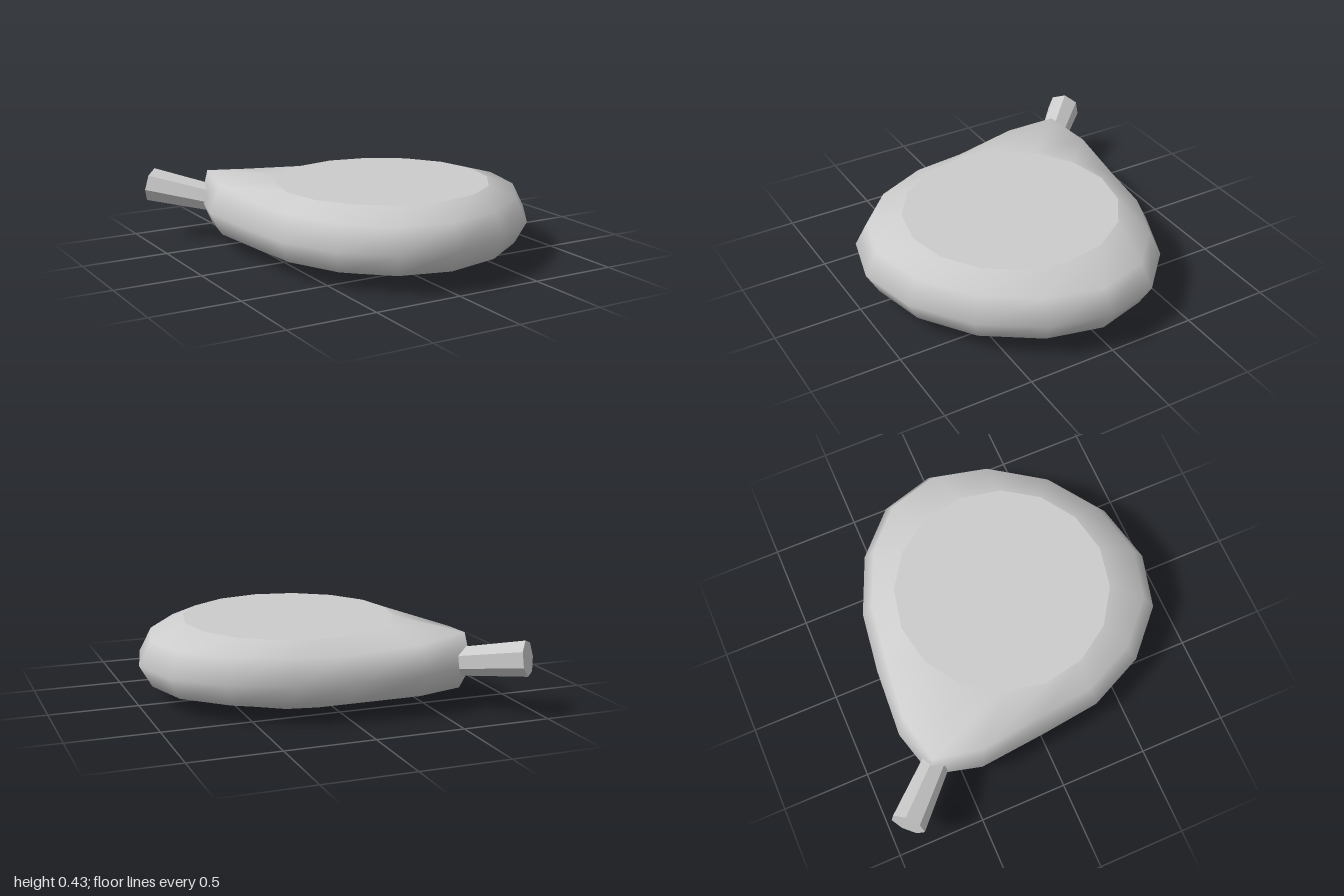
import * as THREE from 'three';

const N = 16;
const CX = 0.09, CZ = 0.09;

// Widest outline of the body (x, z), starting at +x and turning towards +z
const OUTLINE = [
  [0.99, 0], [0.91, 0.34], [0.69, 0.66], [0.37, 0.88],
  [0.02, 0.96], [-0.29, 0.88], [-0.54, 0.65], [-0.69, 0.33],
  [-0.73, 0], [-0.77, -0.4], [-0.7, -0.68], [-0.42, -0.755],
  [-0.02, -0.73], [0.33, -0.68], [0.66, -0.54], [0.9, -0.31],
];

// How strongly a point belongs to the bone corner
const corner = (i) => Math.max(0, 1 - Math.abs(i - 10) / 2);

function outlineRing(y, scale, lift, cornerScale) {
  return OUTLINE.map(([x, z], i) => {
    const s = THREE.MathUtils.lerp(scale, cornerScale, corner(i));
    return [CX + (x - CX) * s, y + lift * corner(i), CZ + (z - CZ) * s];
  });
}

function roundRing(y, cx, cz, r) {
  return OUTLINE.map((_, i) => {
    const a = (i / N) * Math.PI * 2;
    return [cx + r * Math.cos(a), y, cz + r * Math.sin(a)];
  });
}

function makeGeometry(points, index) {
  const g = new THREE.BufferGeometry();
  g.setAttribute('position', new THREE.Float32BufferAttribute(points.flat(), 3));
  g.setIndex(index);
  g.computeVertexNormals();
  return g;
}

// Smooth wall through a stack of rings, lowest first
function loft(rings) {
  const index = [];
  for (let j = 0; j < rings.length - 1; j++) {
    for (let i = 0; i < N; i++) {
      const a = j * N + i, b = j * N + ((i + 1) % N);
      index.push(a, a + N, b, b, a + N, b + N);
    }
  }
  return makeGeometry(rings.flat(), index);
}

// Flat lid over one ring
function lid(ring, up) {
  const index = [];
  for (let i = 1; i < N - 1; i++) index.push(0, ...(up ? [i + 1, i] : [i, i + 1]));
  return makeGeometry(ring, index);
}

export function createModel() {
  const group = new THREE.Group();
  const smooth = new THREE.MeshStandardMaterial({ color: 0xcccccc });
  const faceted = new THREE.MeshStandardMaterial({ color: 0xcccccc, flatShading: true });
  const add = (name, geometry, material) => {
    const mesh = new THREE.Mesh(geometry, material);
    mesh.name = name;
    group.add(mesh);
    return mesh;
  };

  // Rounded slab drawn out to one corner
  const rings = [
    roundRing(0, 0.08, 0.08, 0.46),
    outlineRing(0.1, 0.92, 0.01, 0.94),
    outlineRing(0.225, 1, 0.02, 1),
    outlineRing(0.36, 0.92, 0.065, 0.96),
    roundRing(0.425, 0.09, 0.09, 0.61),
  ];
  add('bodySide', loft(rings), smooth);
  add('bodyTop', lid(rings[4], true), smooth);
  add('bodyBottom', lid(rings[0], false), smooth);

  // Bone sticking out of the corner, widening to its end
  const start = new THREE.Vector3(-0.58, 0.245, -0.56);
  const end = new THREE.Vector3(-0.92, 0.318, -0.9);
  const axis = end.clone().sub(start);
  const bone = add('bone', new THREE.CylinderGeometry(0.1, 0.075, axis.length(), 7), faceted);
  bone.position.copy(start).add(end).multiplyScalar(0.5);
  bone.quaternion.setFromUnitVectors(new THREE.Vector3(0, 1, 0), axis.normalize());

  return group;
}
